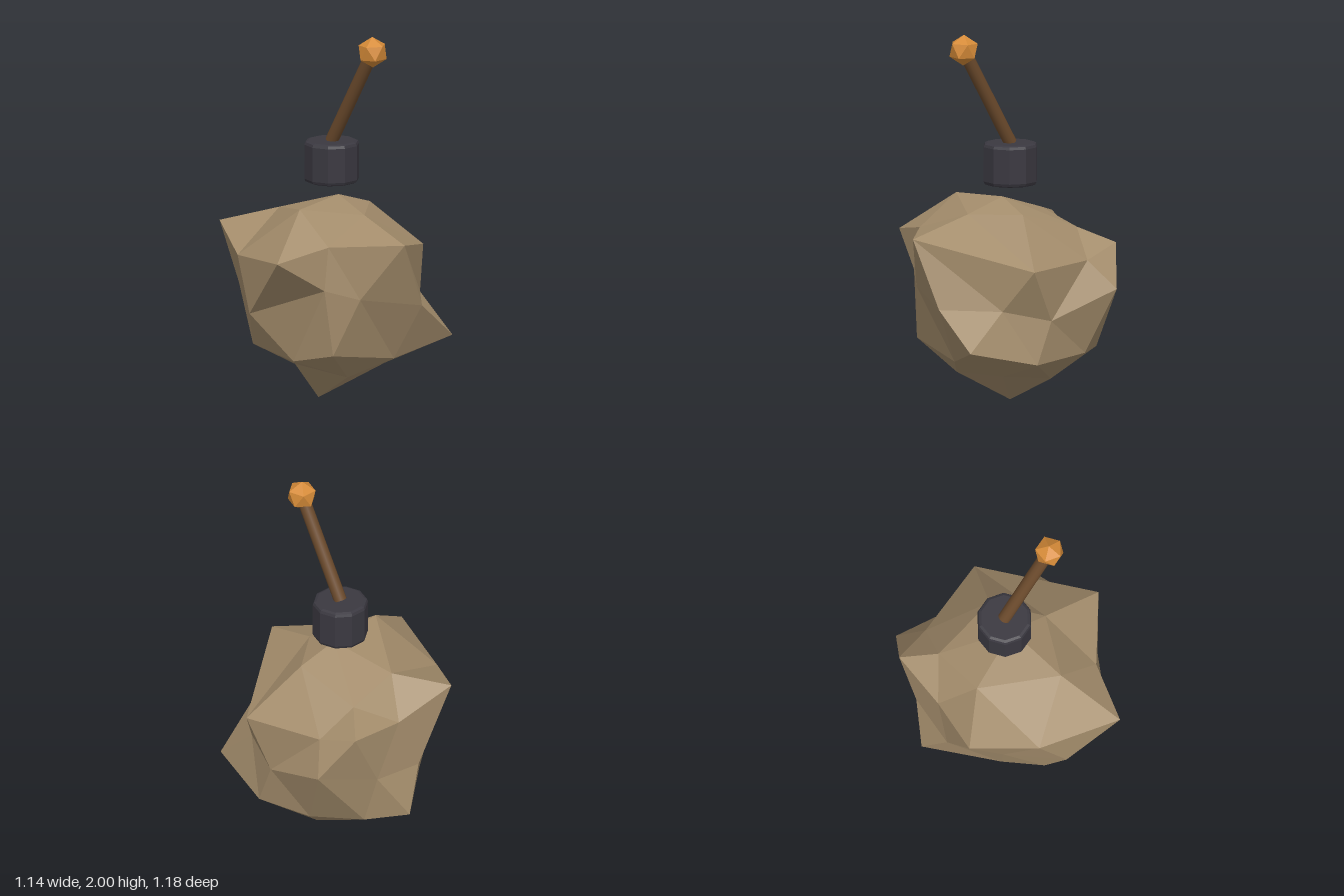
import * as THREE from 'three';
import { ConvexGeometry } from 'three/addons/geometries/ConvexGeometry.js';

const material = (name, color, flatShading = true) =>
  new THREE.MeshStandardMaterial({ name, color, flatShading });

// Corner points of the lumpy boulder, from crown to base
const CORNERS = [
  // crown
  [0.03, 1.11, -0.09], [0.085, 1.09, 0.265], [0.24, 1.03, -0.07], [0.05, 1.04, -0.31],
  [-0.295, 1.01, 0.025], [-0.32, 0.94, -0.275],
  // upper band
  [0.57, 0.92, -0.035], [0.31, 0.92, 0.28], [0.23, 0.865, 0.59], [-0.2, 0.83, 0.445],
  [-0.52, 0.94, 0.25], [-0.47, 0.83, -0.085], [-0.48, 0.86, -0.41], [-0.26, 0.79, -0.465],
  [0.17, 0.78, -0.595],
  // middle band
  [0.525, 0.56, -0.215], [0.42, 0.63, 0.15], [0.32, 0.69, 0.32], [-0.06, 0.54, 0.5],
  [-0.33, 0.64, 0.3], [-0.5, 0.53, 0.03], [-0.485, 0.55, -0.255], [-0.37, 0.64, -0.58],
  [0.03, 0.5, -0.55], [0.28, 0.56, -0.455],
  // lower band
  [0.5, 0.355, -0.475], [0.38, 0.26, -0.15], [0.335, 0.33, 0.27], [0.11, 0.28, 0.34],
  [-0.13, 0.35, 0.4], [-0.29, 0.31, 0.23], [-0.57, 0.3, -0.1], [-0.43, 0.29, -0.3],
  [-0.22, 0.3, -0.5], [0.12, 0.27, -0.55],
  // base
  [0.23, 0.165, 0.05], [-0.06, 0.21, 0.15], [-0.27, 0.16, -0.06], [-0.11, 0.15, -0.34],
  [0.17, 0.18, -0.3], [-0.06, 0, -0.03],
].map((p) => new THREE.Vector3(...p));

// Wrap the corners' directions in a sphere-like net, then push each one out to its corner
function boulderGeometry() {
  const centre = new THREE.Vector3(-0.02, 0.55, -0.09);
  const directions = CORNERS.map((p) => p.clone().sub(centre).normalize());
  const geometry = new ConvexGeometry(directions);
  const position = geometry.attributes.position;
  const v = new THREE.Vector3();
  for (let i = 0; i < position.count; i++) {
    v.fromBufferAttribute(position, i);
    let best = 0;
    directions.forEach((d, k) => {
      if (d.distanceToSquared(v) < directions[best].distanceToSquared(v)) best = k;
    });
    position.setXYZ(i, ...CORNERS[best].toArray());
  }
  geometry.computeVertexNormals();
  return geometry;
}

export function createModel() {
  const model = new THREE.Group();
  const add = (name, geometry, mat, parent = model) => {
    const mesh = new THREE.Mesh(geometry, mat);
    mesh.name = name;
    parent.add(mesh);
    return mesh;
  };

  // Faceted stone body
  add('boulder', boulderGeometry(), material('tan stone', 0xa38c6b));

  // Ten-sided collar with bevelled rims, floating over the stone
  const profile = [[0, 0], [0.128, 0], [0.142, 0.006], [0.148, 0.02], [0.148, 0.205],
    [0.142, 0.219], [0.128, 0.225], [0, 0.225]].map(([r, y]) => new THREE.Vector2(r, y));
  add('collar', new THREE.LatheGeometry(profile, 10), material('dark iron', 0x3a3840))
    .position.set(-0.02, 1.172, -0.09);

  // Leaning fuse with its ember
  const fuse = new THREE.Group();
  fuse.name = 'fuse';
  fuse.position.set(-0.02, 1.395, -0.09);
  fuse.rotation.z = -0.52;
  model.add(fuse);
  add('fuseCord', new THREE.CylinderGeometry(0.035, 0.035, 0.58, 12),
    material('brown cord', 0x6b4a2c, false), fuse).position.y = 0.29;
  add('ember', new THREE.IcosahedronGeometry(0.083, 0),
    material('orange ember', 0xd68b38), fuse).position.y = 0.606;

  return model;
}
